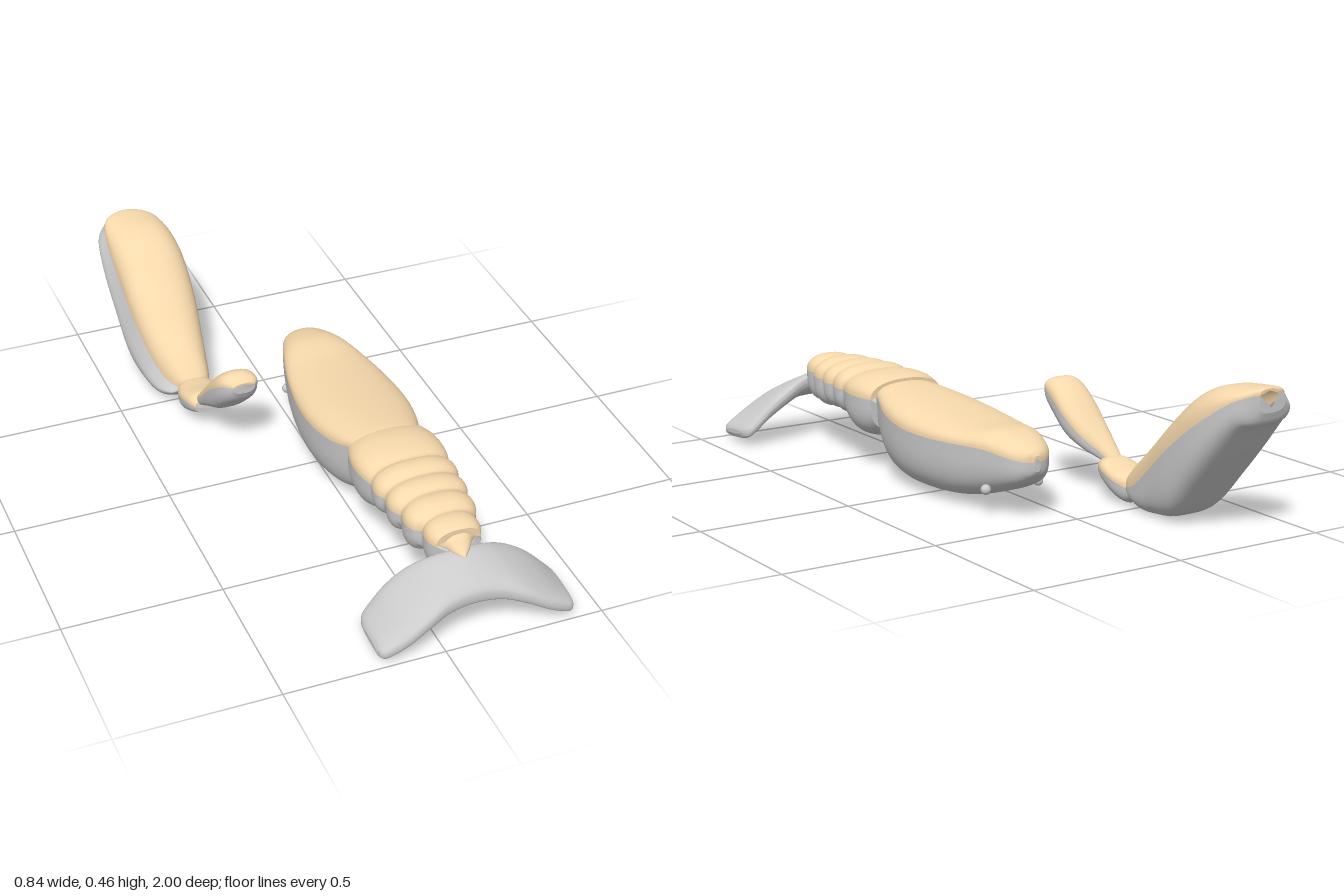
import * as THREE from 'three';

const tan = new THREE.MeshStandardMaterial({ color: 0xf7d9ac, side: THREE.DoubleSide });
const grey = new THREE.MeshStandardMaterial({ color: 0xcccccc, side: THREE.DoubleSide });
const CX = 0.11; // centre line of the body

// Superellipse coordinate: smaller e gives squarer sections
const power = (v, e) => Math.sign(v) * Math.pow(Math.abs(v), e);

// Skin over rings of equal length, with flat caps at both ends
function skin(rings, name, material) {
  const centre = (ring) => {
    const c = new THREE.Vector3();
    ring.forEach((p) => c.add(p));
    c.divideScalar(ring.length);
    return ring.map(() => c);
  };
  const positions = [], indices = [];
  const strip = (list) => {
    const base = positions.length / 3, n = list[0].length;
    list.forEach((ring) => ring.forEach((p) => positions.push(p.x, p.y, p.z)));
    for (let j = 0; j < list.length - 1; j++) {
      for (let i = 0; i < n - 1; i++) {
        const a = base + j * n + i, b = a + n;
        indices.push(a, a + 1, b + 1, a, b + 1, b);
      }
    }
  };
  const first = rings[0], last = rings[rings.length - 1];
  strip(rings);
  strip([centre(first), first]);
  strip([last, centre(last)]);
  const g = new THREE.BufferGeometry();
  g.setAttribute('position', new THREE.Float32BufferAttribute(positions, 3));
  g.setIndex(indices);
  g.computeVertexNormals();
  const mesh = new THREE.Mesh(g, material);
  mesh.name = name;
  return mesh;
}

// Smoothly resample rows of six numbers
function resample(rows, steps) {
  const curve = (k) => new THREE.CatmullRomCurve3(
    rows.map((r) => new THREE.Vector3(r[k], r[k + 1], r[k + 2])), false, 'catmullrom', 0.5);
  const a = curve(0), b = curve(3), out = [];
  const n = (rows.length - 1) * steps;
  for (let i = 0; i <= n; i++) out.push([...a.getPoint(i / n).toArray(), ...b.getPoint(i / n).toArray()]);
  return out;
}

// Half shell along z; rows are [z, centre x, half width, bottom, seam, top]
function halfShell(rows, upper, e, name, material, bulge = 0) {
  const N = 28;
  const rings = rows.map(([z, cx, w, bottom, seam, top]) => {
    const ring = [];
    for (let i = 0; i <= N; i++) {
      const a = Math.PI * (i / N + (upper ? 0 : 1));
      const c = power(Math.cos(a), e);
      const s = i % N === 0 ? 0 : power(Math.sin(a), e);
      const push = upper ? 0 : bulge * Math.min(1, -s * 2) * Math.max(0, -c);
      ring.push(new THREE.Vector3(cx + w * c - push, seam + s * (upper ? top - seam : seam - bottom), z));
    }
    return ring;
  });
  return skin(rings, name, material);
}

// Tan cover over a grey hull
function shellPair(name, rows, { steps = 5, up = 0.85, down = 0.62, bulge = 0 } = {}) {
  const group = new THREE.Group();
  group.name = name;
  const sections = resample(rows, steps);
  group.add(halfShell(sections, true, up, name + 'Cover', tan));
  group.add(halfShell(sections, false, down, name + 'Hull', grey, bulge));
  return group;
}

// Abdomen sections: each segment swells and pinches in again
function abdomenRows() {
  const segments = [ // start, end, half width, bottom, top
    [0.30, 0.47, 0.145, 0.10, 0.308],
    [0.47, 0.555, 0.135, 0.145, 0.310],
    [0.555, 0.64, 0.126, 0.145, 0.306],
    [0.64, 0.73, 0.112, 0.135, 0.303],
    [0.73, 0.825, 0.085, 0.135, 0.295],
  ];
  const rows = [];
  segments.forEach(([z0, z1, w, bottom, top], k) => {
    for (let i = k ? 1 : 0; i <= 8; i++) {
      const t = i / 8;
      const pinch = 1 - Math.pow(Math.sin(Math.PI * Math.min(0.97, Math.max(0.03, t))), 0.45);
      rows.push([z0 + (z1 - z0) * t, CX, w - 0.022 * pinch, bottom + 0.045 * pinch, 0.24, top - 0.018 * pinch]);
    }
  });
  return rows;
}

// Arched tail fan swept across x
function tailFan() {
  const half = [ // offset, front z, rear z, front top y, rear top y, thickness
    [0, 0.825, 0.97, 0.237, 0.175, 0.07],
    [0.08, 0.815, 0.975, 0.225, 0.165, 0.068],
    [0.15, 0.80, 0.992, 0.195, 0.14, 0.066],
    [0.22, 0.80, 1.0, 0.15, 0.10, 0.064],
    [0.28, 0.81, 0.995, 0.09, 0.066, 0.056],
    [0.302, 0.825, 0.985, 0.066, 0.052, 0.042],
    [0.311, 0.86, 0.96, 0.05, 0.04, 0.015],
  ];
  const rows = half.slice(1).reverse().map(([d, ...rest]) => [-d, ...rest]).concat(half);
  const rings = resample(rows, 5).map(([d, zf, zr, yf, yr, th]) => {
    const ring = [];
    for (let i = 0; i <= 32; i++) {
      const a = (i / 32) * Math.PI * 2;
      const u = -power(Math.cos(a), 0.65), v = power(Math.sin(a), 0.65);
      ring.push(new THREE.Vector3(CX + d, (yf + yr) / 2 + u * (yr - yf) / 2 + (v - 1) * th / 2,
        (zf + zr) / 2 + u * (zr - zf) / 2));
    }
    return ring;
  });
  return skin(rings, 'tailFan', grey);
}

export function createModel() {
  const model = new THREE.Group();
  model.name = 'crustacean';

  // Main body
  model.add(shellPair('body', [
    [-0.45, CX, 0.012, 0.15, 0.18, 0.20],
    [-0.437, CX, 0.045, 0.13, 0.184, 0.216],
    [-0.40, CX, 0.075, 0.10, 0.192, 0.235],
    [-0.31, CX, 0.108, 0.063, 0.205, 0.256],
    [-0.20, CX, 0.138, 0.03, 0.203, 0.252],
    [-0.10, CX, 0.156, 0.015, 0.20, 0.256],
    [0.0, CX, 0.165, 0.01, 0.20, 0.264],
    [0.10, CX, 0.162, 0.012, 0.207, 0.273],
    [0.20, CX, 0.143, 0.028, 0.22, 0.282],
    [0.28, CX, 0.115, 0.065, 0.242, 0.288],
    [0.315, CX, 0.10, 0.10, 0.25, 0.285],
  ]));

  // Segmented abdomen, its pointed end and the fan
  model.add(shellPair('abdomen', abdomenRows(), { steps: 2 }));
  const tip = resample([
    [0.80, CX, 0.07, 0.23, 0.235, 0.28],
    [0.83, CX, 0.04, 0.22, 0.232, 0.265],
    [0.85, CX, 0.025, 0.215, 0.225, 0.243],
    [0.872, CX, 0.003, 0.213, 0.217, 0.22],
  ], 4);
  model.add(halfShell(tip, true, 0.9, 'tailTipTop', tan), halfShell(tip, false, 0.9, 'tailTipUnderside', tan));
  model.add(tailFan());

  // Small knobs beside the snout
  for (const side of [-1, 1]) {
    const knob = new THREE.Mesh(new THREE.SphereGeometry(0.016, 16, 12), grey);
    knob.position.set(CX + side * 0.095, 0.08, -0.315);
    knob.name = side > 0 ? 'leftKnob' : 'rightKnob';
    model.add(knob);
  }

  // Single claw arm: upper arm, wrist and claw
  model.add(shellPair('upperArm', [
    [-0.33, -0.272, 0.022, 0.08, 0.10, 0.12],
    [-0.29, -0.262, 0.036, 0.10, 0.135, 0.165],
    [-0.24, -0.245, 0.055, 0.125, 0.18, 0.22],
    [-0.18, -0.235, 0.066, 0.155, 0.235, 0.285],
    [-0.12, -0.232, 0.064, 0.205, 0.28, 0.333],
    [-0.08, -0.226, 0.054, 0.245, 0.303, 0.333],
    [-0.06, -0.222, 0.035, 0.28, 0.305, 0.317],
  ], { down: 0.7 }));
  model.add(shellPair('wrist', [
    [-0.49, -0.255, 0.045, 0.025, 0.055, 0.09],
    [-0.45, -0.257, 0.06, 0.003, 0.062, 0.10],
    [-0.40, -0.258, 0.067, 0.015, 0.075, 0.108],
    [-0.34, -0.26, 0.06, 0.045, 0.088, 0.122],
    [-0.305, -0.262, 0.045, 0.065, 0.09, 0.115],
  ], { down: 0.7 }));
  model.add(shellPair('claw', [
    [-1.0, -0.31, 0.035, 0.385, 0.44, 0.457],
    [-0.985, -0.307, 0.07, 0.35, 0.435, 0.459],
    [-0.95, -0.299, 0.096, 0.325, 0.415, 0.458],
    [-0.88, -0.288, 0.112, 0.235, 0.365, 0.452],
    [-0.80, -0.280, 0.116, 0.135, 0.305, 0.42],
    [-0.70, -0.276, 0.111, 0.025, 0.225, 0.335],
    [-0.60, -0.272, 0.095, 0.002, 0.14, 0.24],
    [-0.53, -0.265, 0.078, 0.004, 0.085, 0.175],
    [-0.48, -0.256, 0.058, 0.03, 0.065, 0.125],
    [-0.455, -0.253, 0.038, 0.055, 0.07, 0.095],
  ], { bulge: 0.027, down: 0.55 }));

  return model;
}
